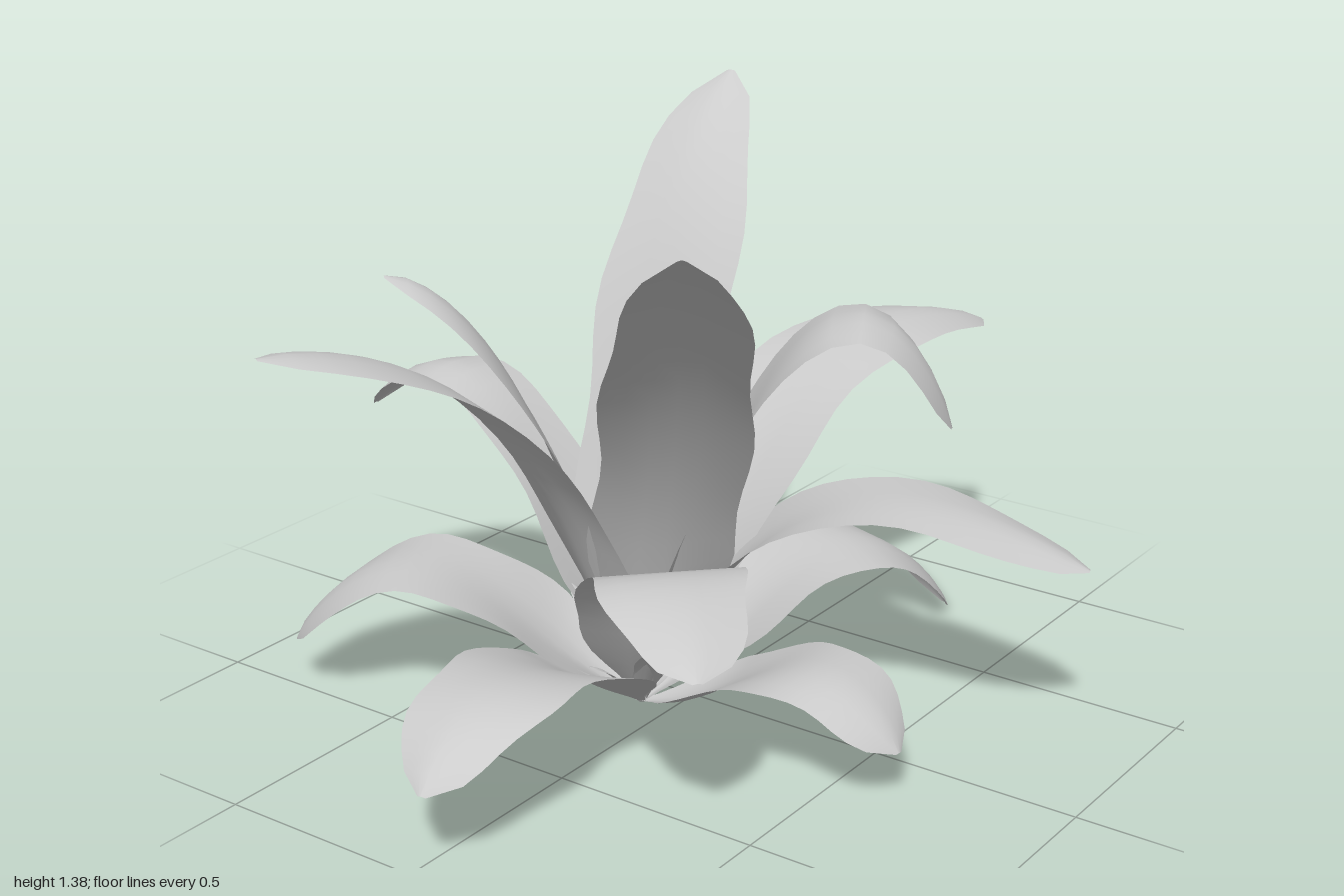
import * as THREE from 'three';

const material = new THREE.MeshStandardMaterial({ color: 0xcccccc, side: THREE.DoubleSide, roughness: 0.8 });
const ROOT = new THREE.Vector3(-0.1, 0.02, -0.08);
const UP = new THREE.Vector3(0, 1, 0);
const ROWS = 22, COLS = 6;

// Share of the full half-width along a leaf: narrow stalk, broad middle, short pointed tip
function outline(t) {
  const stalk = 0.06 + 0.94 * THREE.MathUtils.smoothstep(t, -0.02, 0.3);
  return stalk * (0.06 + 0.94 * Math.pow(1 - Math.pow(t, 6), 0.65));
}

// Midrib in the upright plane from root to tip, passing through two (share of reach, height)
// points at a third and two thirds of the way, and bowed sideways
function midrib(tip, r1, y1, r2, y2, side, bow) {
  const at = (share, y) => ROOT.clone().lerp(tip, share).setY(y);
  const control = (near, far, a, b) => near.clone().multiplyScalar(-5).addScaledVector(a, 18)
    .addScaledVector(b, -9).addScaledVector(far, 2).divideScalar(6).addScaledVector(side, bow);
  const a = at(r1, y1), b = at(r2, y2);
  return new THREE.CubicBezierCurve3(ROOT, control(ROOT, tip, a, b), control(tip, ROOT, b, a), tip);
}

// A blade swept along the midrib: channelled near the root, arched over near the tip, with rippled edges
function blade(name, [x, y, z, r1, y1, r2, y2, width, bow, turn = 0], phase) {
  const side = new THREE.Vector3(z - ROOT.z, 0, ROOT.x - x).normalize();
  const curve = midrib(new THREE.Vector3(x, y, z), r1, y1, r2, y2, side, bow);
  side.applyAxisAngle(UP, turn);
  const position = [], index = [];
  for (let r = 0; r <= ROWS; r++) {
    const t = r / ROWS;
    const centre = curve.getPointAt(t);
    const normal = curve.getTangentAt(t).cross(side).normalize();
    const half = width / 2 * outline(t);
    const depth = 0.42 * half * (1 - 1.7 * t);
    for (let c = 0; c <= COLS; c++) {
      const s = c / COLS * 2 - 1;
      const ripple = 1 + 0.06 * Math.sin(t * 21 + phase + s * 1.3) * Math.abs(s);
      const lift = depth * (Math.pow(Math.abs(s), 1.4) - 0.5);
      const p = centre.clone().addScaledVector(side, s * half * ripple).addScaledVector(normal, lift);
      position.push(p.x, Math.max(p.y, 0), p.z);
      if (r < ROWS && c < COLS) {
        const a = r * (COLS + 1) + c, b = a + COLS + 1;
        index.push(a, a + 1, b, a + 1, b + 1, b);
      }
    }
  }
  const geometry = new THREE.BufferGeometry();
  geometry.setAttribute('position', new THREE.Float32BufferAttribute(position, 3));
  geometry.setIndex(index);
  geometry.computeVertexNormals();
  const mesh = new THREE.Mesh(geometry, material);
  mesh.name = name;
  return mesh;
}

// Tip x, y, z; two midrib points (share of reach, height); full width; sideways bow; turn if any
const LEAVES = {
  rightLongLeaf: [1, 0.72, 0.18, 0.32, 0.56, 0.64, 0.77, 0.36, 0.04],
  leftBackLongLeaf: [-0.98, 1.05, -0.37, 0.22, 0.55, 0.52, 0.89, 0.28, 0],
  leftLowLeaf: [-1, 0.21, 0.04, 0.33, 0.23, 0.66, 0.33, 0.33, 0],
  frontLeftLeaf: [-0.66, 0.45, 0.48, 0.3, 0.4, 0.58, 0.53, 0.34, 0],
  frontLowLeaf: [-0.17, 0.14, 0.66, 0.38, 0.17, 0.68, 0.26, 0.32, 0],
  frontLongLeaf: [0.25, 0.47, 0.88, 0.3, 0.48, 0.63, 0.57, 0.31, 0.05],
  frontUprightLeaf: [0.24, 0.73, 0.53, 0.18, 0.48, 0.56, 0.94, 0.33, 0],
  frontRightLowLeaf: [0.58, 0.13, 0.34, 0.34, 0.23, 0.66, 0.34, 0.34, 0],
  backRightLowLeaf: [0.55, 0.14, -0.63, 0.34, 0.24, 0.66, 0.34, 0.33, 0],
  backLeaf: [-0.09, 0.59, -0.89, 0.27, 0.4, 0.6, 0.7, 0.24, -0.06],
  backLeftLowLeaf: [-0.48, 0.13, -0.81, 0.34, 0.24, 0.66, 0.34, 0.35, 0],
  backUprightLeaf: [-0.31, 1.01, -0.64, 0.22, 0.45, 0.56, 0.83, 0.34, 0, 0.5],
  rightTallLeaf: [0.46, 1.4, -0.22, 0.19, 0.53, 0.48, 1.03, 0.33, 0.04],
  leftTallLeaf: [-0.7, 1.33, 0.47, 0.19, 0.47, 0.5, 0.9, 0.33, 0.06],
};

export function createModel() {
  const plant = new THREE.Group();
  plant.name = 'plant';

  // Main rosette
  Object.entries(LEAVES).forEach(([name, shape], i) => plant.add(blade(name, shape, i * 2.1)));

  // Short narrow shoots around the root
  const shoots = new THREE.Group();
  shoots.name = 'shoots';
  for (let i = 0; i < 9; i++) {
    const angle = i * 2.4, reach = 0.12 + 0.04 * (i % 3), height = 0.16 + 0.05 * (i % 4);
    const x = ROOT.x + Math.cos(angle) * reach, z = ROOT.z + Math.sin(angle) * reach;
    shoots.add(blade('shoot', [x, height, z, 0.25, height * 0.4, 0.6, height * 0.75, 0.05, 0], i));
  }
  plant.add(shoots);
  return plant;
}
